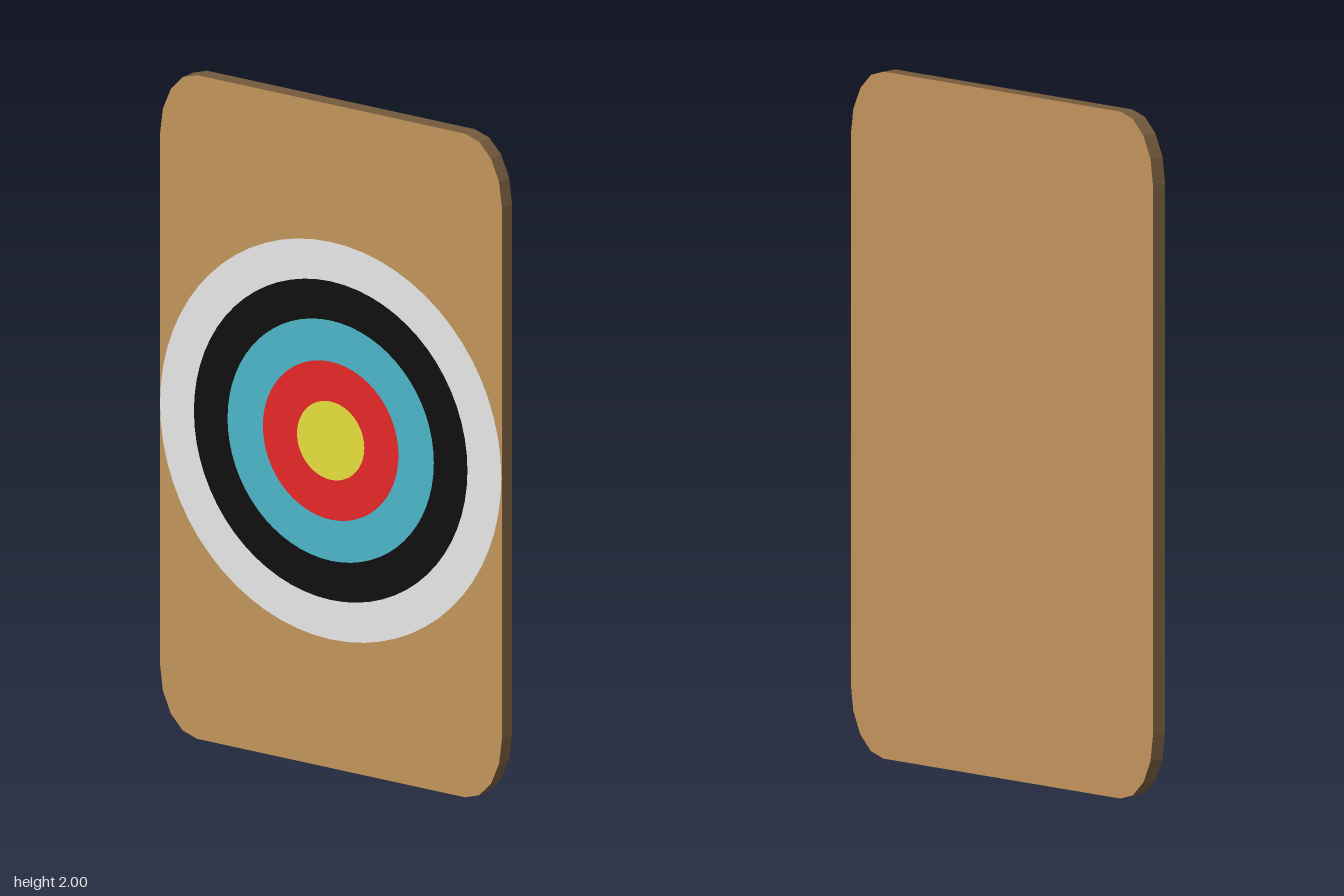
import * as THREE from 'three';

const paint = (name, color) => {
  const m = new THREE.MeshStandardMaterial({ color });
  m.name = name;
  return m;
};

// Rounded rectangle with faceted elliptical corners
function boardShape(halfW, height, rx, ry, steps) {
  const pts = [];
  const corners = [[1, 1], [-1, 1], [-1, -1], [1, -1]];
  corners.forEach(([sx, sy], c) => {
    const cx = sx * (halfW - rx);
    const cy = sy > 0 ? height - ry : ry;
    for (let i = 0; i <= steps; i++) {
      const a = (c + i / steps) * Math.PI / 2;
      pts.push(new THREE.Vector2(cx + rx * Math.cos(a), cy + ry * Math.sin(a)));
    }
  });
  return new THREE.Shape(pts);
}

export function createModel() {
  const group = new THREE.Group();
  group.name = 'archeryTarget';

  const wood = paint('wood', 0xc3945c);
  const darkWood = paint('dark wood edge', 0x735a3c);

  // Board: light faces, dark rim
  const thickness = 0.05;
  const boardGeo = new THREE.ExtrudeGeometry(boardShape(0.6, 2, 0.13, 0.2, 4), {
    depth: thickness, bevelEnabled: false,
  });
  boardGeo.translate(0, 0, -thickness / 2);
  const board = new THREE.Mesh(boardGeo, [wood, darkWood]);
  board.name = 'board';
  group.add(board);

  // Painted rings on the front, from the outside in
  const rings = [
    ['outerRing', 0.599, 0.48, paint('white', 0xe7e7e7)],
    ['blackRing', 0.48, 0.362, paint('black', 0x0f0f0f)],
    ['blueRing', 0.362, 0.238, paint('blue', 0x4db6c7)],
    ['redRing', 0.238, 0.118, paint('red', 0xe72729)],
    ['bullseye', 0.118, 0, paint('yellow', 0xe6df3d)],
  ];
  for (const [name, outer, inner, material] of rings) {
    const geo = inner > 0
      ? new THREE.RingGeometry(inner, outer, 64)
      : new THREE.CircleGeometry(outer, 64);
    const ring = new THREE.Mesh(geo, material);
    ring.name = name;
    ring.position.set(0, 0.987, thickness / 2 + 0.0015);
    group.add(ring);
  }

  return group;
}
